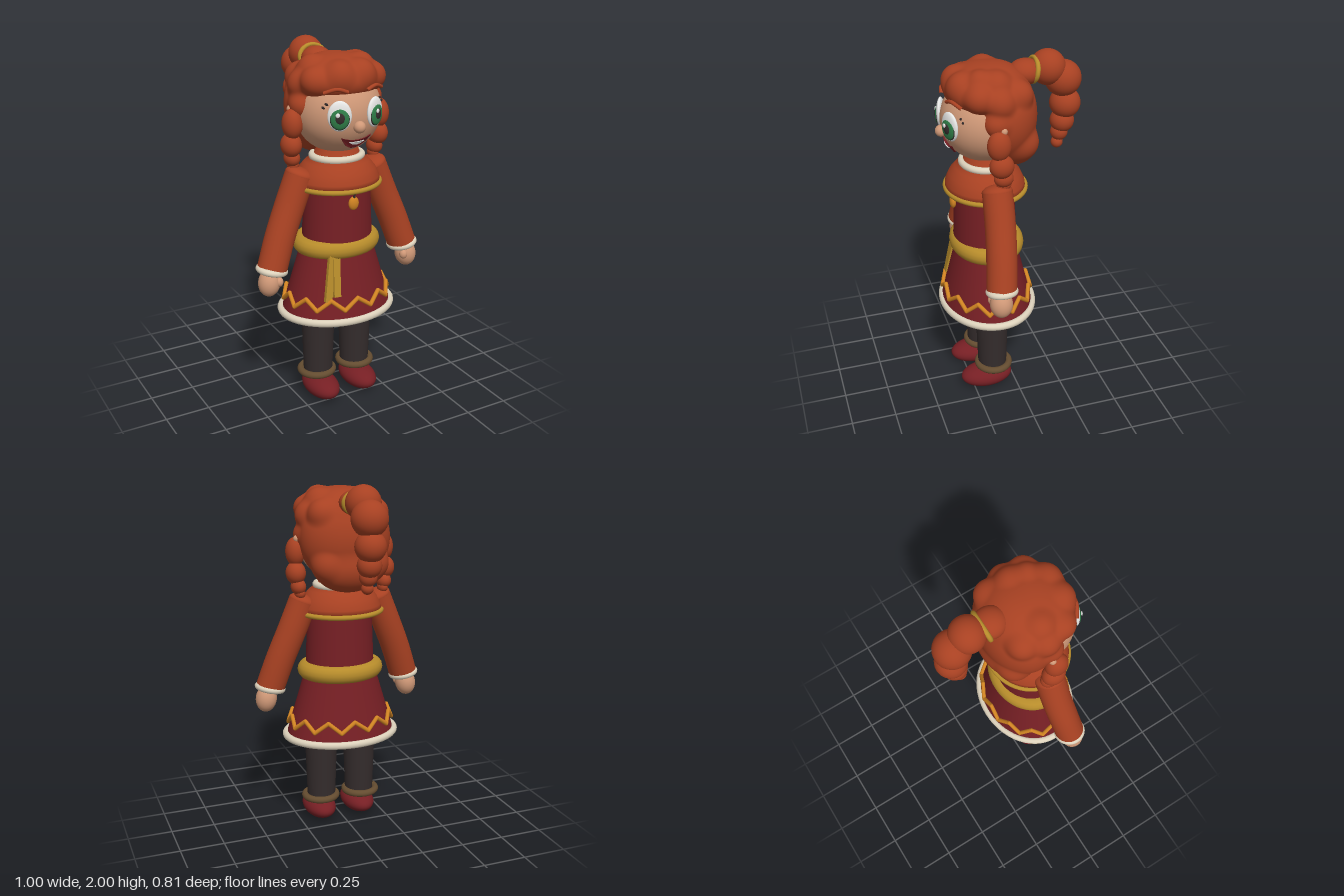
import * as THREE from 'three';
import { mergeVertices } from 'three/addons/utils/BufferGeometryUtils.js';

const mat = (name, color) => { const m = new THREE.MeshStandardMaterial({ color }); m.name = name; return m; };

export function createModel() {
  const M = {
    hair: mat('copper', 0xa84122), red: mat('dark red', 0x761f24), gold: mat('gold', 0xb78c2b),
    cream: mat('cream', 0xddd2bc), skin: mat('skin', 0xcf9877), charcoal: mat('charcoal', 0x342c2c),
    brown: mat('brown', 0x644c30), orange: mat('orange', 0xd08322), green: mat('green', 0x2f7d48),
    white: mat('white', 0xf0f0ee),
  };
  const model = new THREE.Group();
  model.name = 'doll';
  const V = (x, y, z) => new THREE.Vector3(x, y, z);
  const Z = 0.13; // body axis

  const add = (name, geo, material, pos = [0, 0, 0], parent = model) => {
    const m = new THREE.Mesh(geo, material);
    m.name = name;
    m.position.set(...pos);
    parent.add(m);
    return m;
  };
  const ball = (name, material, pos, r, parent) => {
    const m = add(name, new THREE.SphereGeometry(1, 32, 22), material, pos, parent);
    m.scale.set(...(Array.isArray(r) ? r : [r, r, r]));
    return m;
  };
  // Horizontal oval ring: outer radii rx, rz; tube thickness t
  const ring = (name, material, pos, rx, rz, t, parent) => {
    const geo = new THREE.TorusGeometry(rx - t, t, 14, 56).rotateX(Math.PI / 2).scale(1, 1, rz / rx);
    return add(name, geo, material, pos, parent);
  };
  const rod = (name, material, a, b, r, parent) => {
    const m = add(name, new THREE.CapsuleGeometry(r, a.distanceTo(b), 4, 10), material, [0, 0, 0], parent);
    m.position.copy(a).add(b).multiplyScalar(0.5);
    m.quaternion.setFromUnitVectors(V(0, 1, 0), b.clone().sub(a).normalize());
    return m;
  };
  const tube = (name, material, pts, r, parent) => add(name,
    new THREE.TubeGeometry(new THREE.CatmullRomCurve3(pts), 24, r, 24), material, [0, 0, 0], parent);

  // Dress
  add('torso', new THREE.CylinderGeometry(0.185, 0.2, 0.36, 48).scale(1, 1, 0.88), M.red, [0, 1.1, 0.135]);
  add('skirt', new THREE.CylinderGeometry(0.205, 0.318, 0.38, 56).scale(1, 1, 0.8), M.red, [0, 0.735, Z]);
  ring('skirtHem', M.cream, [0, 0.543, 0.128], 0.344, 0.275, 0.021);
  ring('belt', M.gold, [0, 0.93, 0.127], 0.25, 0.205, 0.05);

  // Zigzag braid around the skirt
  const zigzag = new THREE.Group();
  zigzag.name = 'zigzag';
  model.add(zigzag);
  const N = 24;
  const zig = (i) => {
    const a = (i / N) * Math.PI * 2, high = i % 2 === 0;
    const r = high ? 0.294 : 0.309;
    return V(Math.sin(a) * r, high ? 0.667 : 0.61, Z + Math.cos(a) * r * 0.81);
  };
  for (let i = 0; i < N; i++) rod('zigzagBar', M.orange, zig(i), zig(i + 1), 0.012, zigzag);

  // Sash ends hanging from the belt
  for (const [x0, x1, y1, z1] of [[-0.115, -0.16, 0.66, 0.324], [-0.092, -0.112, 0.685, 0.337]]) {
    const a = V(x0, 0.91, 0.287), b = V(x1, y1, z1);
    const m = add('sashEnd', new THREE.BoxGeometry(0.04, a.distanceTo(b), 0.022), M.gold);
    m.position.copy(a).add(b).multiplyScalar(0.5);
    m.quaternion.setFromUnitVectors(V(0, 1, 0), a.clone().sub(b).normalize());
  }

  // Cape, collar and pendant
  const cape = [[0, 1.262], [0.24, 1.265], [0.234, 1.305], [0.212, 1.35], [0.175, 1.39], [0.13, 1.42], [0.1, 1.5]];
  add('cape', new THREE.LatheGeometry(cape.map(p => new THREE.Vector2(...p)), 56).scale(1, 1, 0.91), M.hair, [0, 0, Z]);
  ring('capeTrim', M.gold, [0, 1.27, 0.128], 0.252, 0.23, 0.014);
  ring('collar', M.cream, [0, 1.418, Z], 0.155, 0.142, 0.02);
  rod('pendantCord', M.charcoal, V(0, 1.26, 0.325), V(0, 1.22, 0.315), 0.006);
  ball('pendant', M.orange, [0, 1.195, 0.312], [0.03, 0.038, 0.018]);

  // Arms and legs
  for (const s of [1, -1]) {
    const side = s > 0 ? 'left' : 'right';
    const arm = new THREE.Group();
    arm.name = side + 'Arm';
    model.add(arm);
    const path = [V(s * 0.22, 1.335, 0.125), V(s * 0.288, 1.17, 0.13), V(s * 0.354, 1.01, 0.143), V(s * 0.41, 0.85, 0.16)];
    tube('sleeve', M.hair, path, 0.082, arm);
    ball('shoulder', M.hair, [s * 0.22, 1.335, 0.125], [0.082, 0.04, 0.082], arm).rotation.z = s * 0.38;
    ring('cuff', M.cream, [s * 0.413, 0.842, 0.16], 0.088, 0.088, 0.018, arm).rotation.z = s * 0.2;
    ball('sleeveEnd', M.hair, [s * 0.411, 0.848, 0.16], [0.08, 0.012, 0.08], arm).rotation.z = s * 0.3;
    ball('hand', M.skin, [s * 0.434, 0.776, 0.17], [0.06, 0.077, 0.062], arm).rotation.z = s * 0.15;
    ball('thumb', M.skin, [s * 0.395, 0.786, 0.21], [0.023, 0.027, 0.023], arm);

    const leg = new THREE.Group();
    leg.name = side + 'Leg';
    model.add(leg);
    add('trouserLeg', new THREE.CylinderGeometry(0.096, 0.082, 0.45, 36), M.charcoal, [s * 0.119, 0.355, 0.133], leg);
    ring('ankleBand', M.brown, [s * 0.125, 0.15, 0.128], 0.112, 0.11, 0.02, leg);
    ball('shoe', M.red, [s * 0.122, 0.068, 0.17], [0.092, 0.066, 0.152], leg);
  }

  // Head
  const H = { y: 1.665, rx: 0.236, ry: 0.225, rz: 0.232 };
  const faceZ = (x, y) => Z + H.rz * Math.sqrt(Math.max(0, 1 - (x / H.rx) ** 2 - ((y - H.y) / H.ry) ** 2));
  ball('head', M.skin, [0, H.y, Z], [H.rx, H.ry, H.rz]);
  ball('nose', M.skin, [0, 1.62, 0.362], 0.032);

  // Mouth pieces bent to follow the face
  const crescent = (name, material, w, yEnd, low, high, lift) => {
    const shape = new THREE.Shape();
    shape.moveTo(-w, yEnd);
    shape.quadraticCurveTo(0, low, w, yEnd);
    shape.quadraticCurveTo(0, high, -w, yEnd);
    const geo = new THREE.ExtrudeGeometry(shape, { depth: 0.009, bevelEnabled: false, curveSegments: 20 });
    const p = geo.attributes.position;
    for (let i = 0; i < p.count; i++) p.setZ(i, p.getZ(i) + lift + faceZ(p.getX(i), p.getY(i)));
    geo.computeVertexNormals();
    add(name, geo, material);
  };
  crescent('lips', M.red, 0.088, 1.565, 1.425, 1.53, 0.005);
  crescent('teeth', M.white, 0.045, 1.54, 1.5, 1.535, 0.012);

  // Eyes, lashes, brows and ears
  for (const s of [1, -1]) {
    const eye = new THREE.Group();
    eye.name = s > 0 ? 'leftEye' : 'rightEye';
    eye.position.set(s * 0.103, 1.683, faceZ(0.103, 1.683));
    eye.rotation.y = s * 0.42;
    model.add(eye);
    ball('eyeWhite', M.white, [0, 0, 0], [0.062, 0.079, 0.02], eye);
    ball('irisRim', M.charcoal, [0, -0.012, 0.009], [0.051, 0.058, 0.014], eye);
    ball('iris', M.green, [0, -0.012, 0.012], [0.048, 0.055, 0.014], eye);
    ball('pupil', M.charcoal, [0, -0.008, 0.02], [0.026, 0.03, 0.01], eye);
    ball('glint', M.white, [-0.012, 0.01, 0.028], [0.011, 0.012, 0.005], eye);
    for (const [x, y] of [[0.15, 1.737], [0.165, 1.72]]) {
      rod('lash', M.charcoal, V(s * x, y, faceZ(x, y)), V(s * (x + 0.009), y + 0.006, faceZ(x, y) + 0.002), 0.006);
    }
    tube('brow', M.hair, [V(s * 0.055, 1.8, 0.34), V(s * 0.11, 1.817, 0.327), V(s * 0.17, 1.797, 0.29)], 0.01);
    ball('ear', M.skin, [s * 0.255, 1.69, 0.1], [0.024, 0.022, 0.02]);
  }

  // Hair: one smooth skin wrapped over blended ellipsoids [x, y, z, rx, ry, rz]
  const hair = new THREE.Group();
  hair.name = 'hair';
  model.add(hair);
  const masses = [
    [0, 1.835, 0.125, 0.232, 0.128, 0.215], [0, 1.69, 0.05, 0.255, 0.26, 0.196],
    [0, 1.54, -0.02, 0.2, 0.14, 0.13], [0.11, 1.9, 0.18, 0.065, 0.065, 0.065],
  ];
  for (const [x, y, z, r] of [[0.13, 1.885, 0.1, 0.075], [0.17, 1.84, 0.2, 0.07], [0.06, 1.87, 0.26, 0.075],
    [0.19, 1.81, 0.1, 0.075], [0.2, 1.71, 0.12, 0.07], [0.15, 1.83, -0.01, 0.075], [0.13, 1.56, -0.04, 0.085]]) {
    masses.push([x, y, z, r, r, r], [-x, y, z, r, r, r]);
  }
  const K = 0.025; // blend width
  const distance = (p) => masses.reduce((d, [x, y, z, a, b, c]) => {
    const e = (Math.hypot((p.x - x) / a, (p.y - y) / b, (p.z - z) / c) - 1) * Math.min(a, b, c);
    const h = Math.max(K - Math.abs(d - e), 0);
    return Math.min(d, e) - h * h / (4 * K);
  }, 10);
  let cap = new THREE.IcosahedronGeometry(1, 38);
  cap.deleteAttribute('normal');
  cap.deleteAttribute('uv');
  cap = mergeVertices(cap);
  const heart = V(0, 1.74, 0.09), points = cap.attributes.position;
  for (let i = 0; i < points.count; i++) {
    const dir = V(0, 0, 0).fromBufferAttribute(points, i), p = V(0, 0, 0);
    let reach = 0.5;
    for (let k = 0; k < 50; k++) reach -= distance(p.copy(heart).addScaledVector(dir, reach)) * 0.9;
    points.setXYZ(i, p.x, p.y, p.z);
  }
  cap.computeVertexNormals();
  add('hairCap', cap, M.hair, [0, 0, 0], hair);

  // Side braids
  const braid = [[0.262, 1.615, 0.125, 0.053, 0.08], [0.264, 1.5, 0.113, 0.055, 0.064],
    [0.254, 1.425, 0.1, 0.042, 0.045], [0.247, 1.388, 0.097, 0.03, 0.033]];
  for (const s of [1, -1]) {
    for (const [x, y, z, r, h] of braid) ball('sideBraid', M.hair, [s * x, y, z], [r, h, r + 0.01], hair);
  }

  // Ponytail with its tie
  ball('ponytailRoot', M.hair, [0, 1.893, -0.095], [0.083, 0.068, 0.09], hair);
  const tie = add('hairTie', new THREE.TorusGeometry(0.07, 0.013, 12, 36).scale(1.08, 0.88, 1), M.gold, [0, 1.9, -0.138], hair);
  tie.rotation.x = -0.18;
  const tail = [[1.905, -0.218, 0.095], [1.835, -0.305, 0.098], [1.695, -0.32, 0.084], [1.595, -0.306, 0.066],
    [1.53, -0.291, 0.048], [1.47, -0.28, 0.033]];
  for (const [y, z, r] of tail) ball('ponytail', M.hair, [0, y, z], r, hair);

  return model;
}
